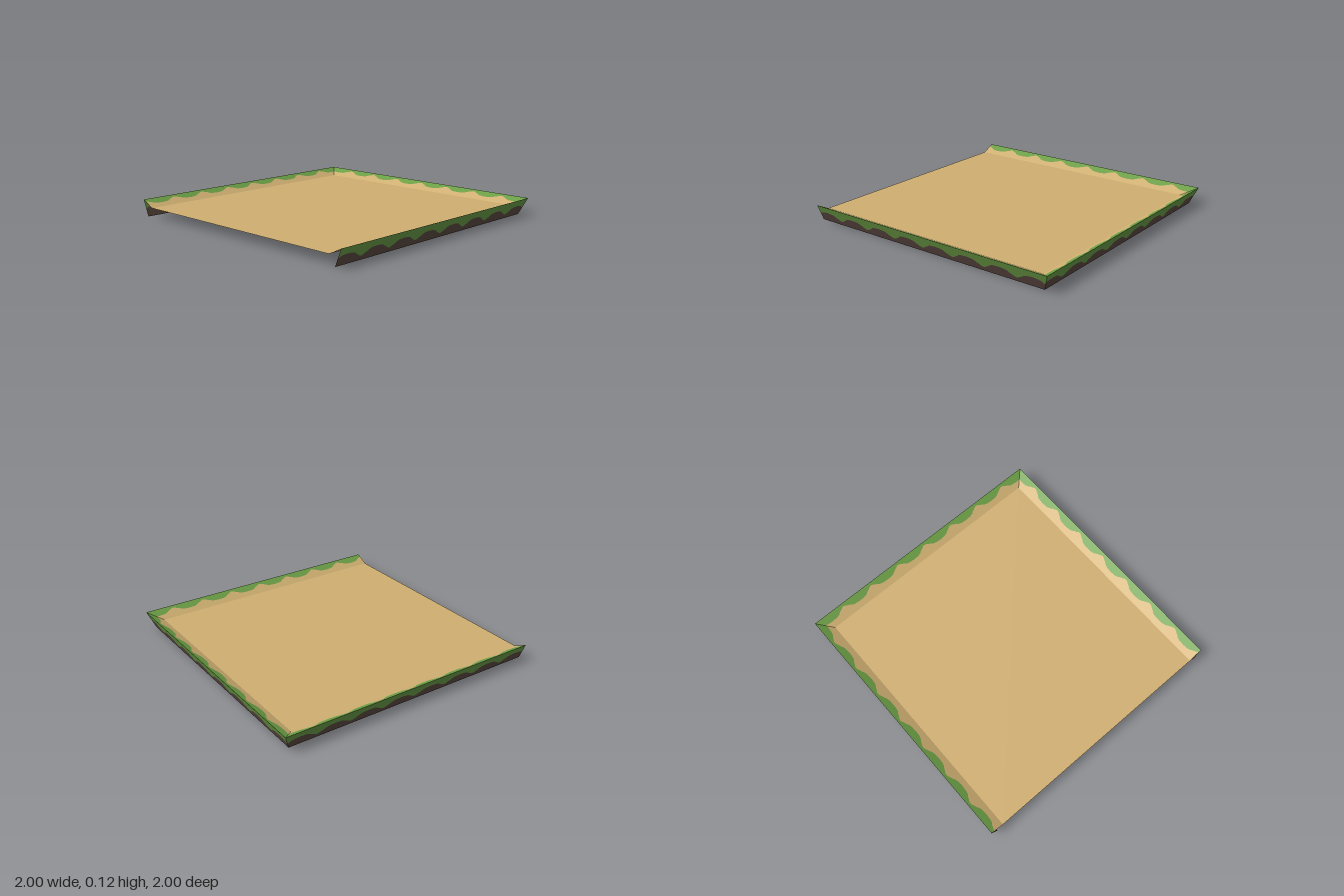
import * as THREE from 'three';

const mat = (name, color) => new THREE.MeshStandardMaterial({ name, color, side: THREE.DoubleSide });

const FLOOR_Y = 0.07, RIM_Y = 0.12, PERIOD = 0.257;

// Wall sections: radius and height, with v running from the rim (0) to the foot (1)
const inner = { r: v => 1 - 0.1 * v, y: v => RIM_Y - (RIM_Y - FLOOR_Y) * v };
const outer = { r: v => 1 - 0.05 * v, y: v => RIM_Y * (1 - v) };

// Half a grass scallop: distance from its tip, and depth from 0 (shallow) to 1 (tip)
const SCALLOP = [[0, 1], [0.014, 0.93], [0.03, 0.68], [0.048, 0.52], [0.062, 0.24], [0.085, 0.08], [0.1285, 0]];
function scallop(u, tip) {
  const t = (u - tip) / PERIOD;
  const d = Math.abs(t - Math.round(t)) * PERIOD;
  let i = 1;
  while (i < SCALLOP.length - 1 && d > SCALLOP[i][0]) i++;
  const [d0, h0] = SCALLOP[i - 1], [d1, h1] = SCALLOP[i];
  return h0 + (h1 - h0) * (d - d0) / (d1 - d0);
}

// A ribbon between two curves v = from(u) and v = to(u), mitred at the corners
function ribbon(section, side, from, to, flip) {
  const pos = [], idx = [], n = 200;
  for (let i = 0; i <= n; i++) {
    const u0 = -1 + 2 * i / n;
    for (const v of [from(u0), to(u0)]) {
      const r = section.r(v);
      const u = Math.max(-r, side === 0 ? Math.min(r, u0) : u0);
      if (side === 0) pos.push(u, section.y(v), -r);
      else pos.push(side * r, section.y(v), u);
    }
    if (i < n) {
      const a = 2 * i, b = a + 1, c = a + 2, d = a + 3;
      idx.push(...(flip ? [a, c, b, b, c, d] : [a, b, c, b, d, c]));
    }
  }
  const g = new THREE.BufferGeometry();
  g.setAttribute('position', new THREE.Float32BufferAttribute(pos, 3));
  g.setIndex(idx);
  const flat = g.toNonIndexed();
  flat.computeVertexNormals();
  return flat;
}

export function createModel() {
  const group = new THREE.Group();
  group.name = 'sunkenGroundTile';
  const sand = mat('sand', 0xd0b072);
  const grass = mat('grass', 0x6c9f46);
  const soil = mat('soil', 0x5f4b44);

  const add = (name, geometry, material) => {
    const mesh = new THREE.Mesh(geometry, material);
    mesh.name = name;
    group.add(mesh);
  };

  // Sand floor, open to the front
  const floor = new THREE.PlaneGeometry(1.8, 1.9);
  floor.rotateX(-Math.PI / 2).translate(0, FLOOR_Y, 0.05);
  add('floor', floor, sand);

  // Back and side walls: side 0 is the back, 1 the left, -1 the right
  const top = () => 0, foot = () => 1;
  for (const [label, side] of [['back', 0], ['left', 1], ['right', -1]]) {
    const innerTip = side === 0 ? 0.014 : -0.02;
    const outerTip = side === 0 ? 0.014 : 0.02;

    // Inner bank: sand points reach up into the grass
    const bankEdge = u => 0.58 - 0.37 * scallop(u, innerTip);
    const flipIn = side === -1;
    add(label + 'BankGrass', ribbon(inner, side, top, bankEdge, flipIn), grass);
    add(label + 'BankSand', ribbon(inner, side, bankEdge, foot, flipIn), sand);

    // Outer wall: grass points hang down over the soil
    const wallEdge = u => 0.39 + 0.36 * scallop(u, outerTip);
    add(label + 'WallGrass', ribbon(outer, side, top, wallEdge, !flipIn), grass);
    add(label + 'WallSoil', ribbon(outer, side, wallEdge, foot, !flipIn), soil);
  }
  return group;
}
